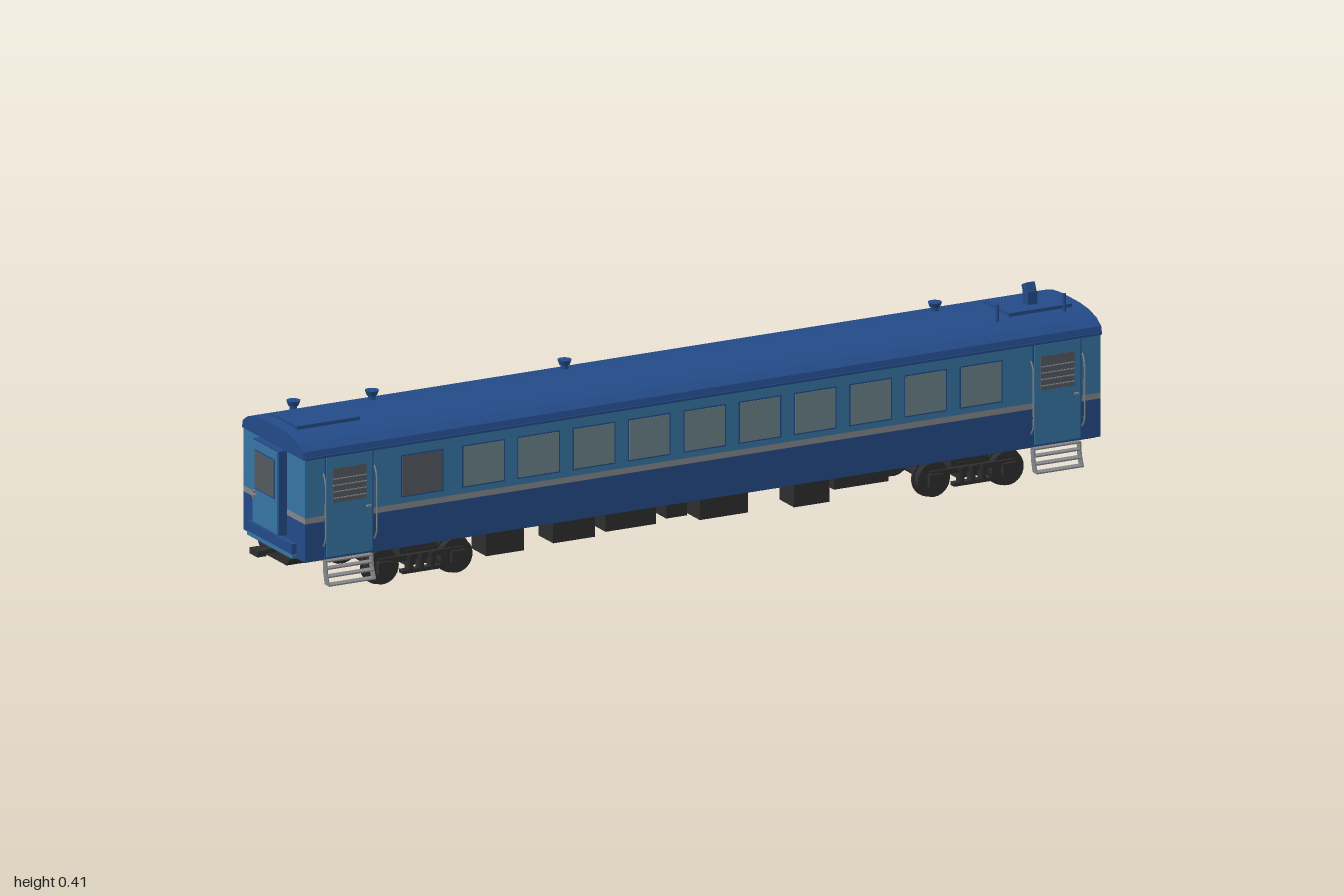
import * as THREE from 'three';

const mat = (name, color) => {
  const m = new THREE.MeshStandardMaterial({ color });
  m.name = name;
  return m;
};

export function createModel() {
  const navy = mat('navy paint', 0x234a88);
  const blue = mat('light blue paint', 0x3675a4);
  const grey = mat('grey trim', 0x84868a);
  const glass = mat('window glass', 0x6a8188);
  const darkGlass = mat('dark window', 0x53595f);
  const black = mat('underframe black', 0x2e2e2e);

  const car = new THREE.Group();
  car.name = 'railwayCarriage';
  const add = (parent, name, geo, m, x = 0, y = 0, z = 0) => {
    const mesh = new THREE.Mesh(geo, m);
    mesh.name = name;
    mesh.position.set(x, y, z);
    parent.add(mesh);
    return mesh;
  };
  // Box given by its limits on each axis
  const box = (parent, name, m, x0, x1, y0, y1, z0, z1) =>
    add(parent, name, new THREE.BoxGeometry(x1 - x0, y1 - y0, z1 - z0), m,
      (x0 + x1) / 2, (y0 + y1) / 2, (z0 + z1) / 2);
  // Cylinder standing upright, or lying along z
  const cyl = (parent, name, m, r, h, x, y, z, alongZ = false, rTop = r, seg = 20) => {
    const g = new THREE.CylinderGeometry(rTop, r, h, seg);
    if (alongZ) g.rotateX(Math.PI / 2);
    return add(parent, name, g, m, x, y, z);
  };
  // Symmetric cross-section [z, y] extruded along x
  const section = (parent, name, m, half, length) => {
    const pts = [...half, ...half.map(([z, y]) => [-z, y]).reverse()];
    const g = new THREE.ExtrudeGeometry(
      new THREE.Shape(pts.map(p => new THREE.Vector2(...p))),
      { depth: length, bevelEnabled: false });
    g.translate(0, 0, -length / 2).rotateY(Math.PI / 2);
    return add(parent, name, g, m);
  };

  // Body shell in painted bands
  const L = 0.95, W = 0.136;
  box(car, 'lowerBody', navy, -L, L, 0.09, 0.174, -W, W);
  box(car, 'waistStripe', grey, -L, L, 0.174, 0.187, -W, W);
  box(car, 'upperBody', blue, -L, L, 0.187, 0.315, -W, W);
  section(car, 'roof', navy,
    [[0.137, 0.315], [0.133, 0.332], [0.113, 0.345], [0.08, 0.354], [0.04, 0.358]], 2 * L + 0.006);

  // Underframe
  section(car, 'underframe', black, [[0.08, 0.091], [0.072, 0.082], [0.055, 0.062]], 1.9);
  box(car, 'floorPlate', black, -0.945, 0.945, 0.086, 0.092, -0.126, 0.126);

  // Underfloor equipment: x start, x end, bottom
  [[-0.5, -0.41, 0.03], [-0.34, -0.24, 0.035], [-0.215, -0.095, 0.042], [-0.07, -0.02, 0.05],
    [0.01, 0.125, 0.035], [0.235, 0.32, 0.03], [0.33, 0.46, 0.055]].forEach(([a, b, y]) => {
    for (const s of [-1, 1])
      add(car, 'equipmentBox', new THREE.BoxGeometry(b - a, 0.088 - y, 0.065), black,
        (a + b) / 2, (0.088 + y) / 2, s * 0.072);
  });

  // Roof fittings
  for (const x of [-0.85, 0.85]) box(car, 'roofHatch', navy, x - 0.075, x + 0.075, 0.35, 0.364, -0.058, 0.055);
  [[-0.86, -0.082], [-0.68, -0.068], [-0.22, -0.068], [0.66, -0.06]].forEach(([x, z]) => {
    cyl(car, 'ventStem', navy, 0.008, 0.02, x, 0.357, z);
    cyl(car, 'ventCap', navy, 0.011, 0.011, x, 0.37, z, false, 0.015);
  });
  box(car, 'chimney', navy, 0.839, 0.861, 0.355, 0.392, -0.003, 0.021);
  const cowl = add(car, 'chimneyCowl', new THREE.BoxGeometry(0.02, 0.019, 0.024), navy, 0.85, 0.397, 0.004);
  cowl.rotation.x = -0.45 + Math.PI;
  for (const x of [0.74, 0.9]) cyl(car, 'roofPipe', navy, 0.004, 0.045, x, 0.371, 0.068, false, 0.004, 10);

  // One side and one end; a half turn gives the other pair
  const buildHalf = () => {
    const h = new THREE.Group();

    // Side windows with thin frames
    const window = (x, w, y0, y1, m) => {
      box(h, 'windowFrame', navy, x - w / 2 - 0.003, x + w / 2 + 0.003, y0 - 0.003, y1 + 0.003, W, W + 0.001);
      box(h, 'sideWindow', m, x - w / 2, x + w / 2, y0, y1, W, W + 0.002);
    };
    window(-0.67, 0.096, 0.203, 0.29, darkGlass);
    for (let i = 0; i < 10; i++) window(-0.524 + i * 0.132, 0.096, 0.203, 0.29, glass);
    box(h, 'rainGutter', navy, -L, L, 0.314, 0.319, W, W + 0.003);

    // Entrance doors, handrails and steps
    for (const x of [-0.845, 0.845]) {
      box(h, 'doorFrame', navy, x - 0.058, x + 0.058, 0.092, 0.316, W, W + 0.0015);
      box(h, 'entranceDoor', blue, x - 0.055, x + 0.055, 0.095, 0.313, W, W + 0.003);
      box(h, 'doorWindow', darkGlass, x - 0.04, x + 0.04, 0.213, 0.288, W, W + 0.004);
      for (let i = 0; i < 4; i++) {
        const y = 0.222 + i * 0.014;
        box(h, 'windowBar', grey, x - 0.04, x + 0.04, y, y + 0.002, W, W + 0.006);
      }
      box(h, 'doorHandle', grey, x + 0.04, x + 0.05, 0.193, 0.197, W, W + 0.008);
      for (const s of [-1, 1]) {
        const rail = new THREE.CatmullRomCurve3([[0.12, W], [0.133, 0.145], [0.2, 0.146], [0.265, 0.145], [0.28, W]]
          .map(([y, z]) => new THREE.Vector3(x + s * 0.061, y, z)));
        add(h, 'handrail', new THREE.TubeGeometry(rail, 16, 0.002, 6), grey);
        // Curved step bracket
        const b = new THREE.Shape([[0.125, 0.088], [0.14, 0.088], [0.143, 0.06], [0.153, 0.035], [0.134, 0.035], [0.127, 0.06]]
          .map(([z, y]) => new THREE.Vector2(-z, y)));
        const g = new THREE.ExtrudeGeometry(b, { depth: 0.003, bevelEnabled: false }).rotateY(Math.PI / 2);
        add(h, 'stepBracket', g, grey, x + s * 0.055 - 0.0015);
      }
      [[0.036, 0.134, 0.153], [0.053, 0.128, 0.147], [0.07, 0.126, 0.143], [0.085, 0.125, 0.14]].forEach(([y, z0, z1]) =>
        box(h, 'stepTread', grey, x - 0.056, x + 0.056, y - 0.0015, y + 0.0015, z0, z1));
    }

    // End gangway door
    box(h, 'gangwayFrame', navy, L, 0.969, 0.13, 0.315, -0.057, 0.057);
    box(h, 'gangwayDoor', blue, 0.969, 0.972, 0.133, 0.312, -0.054, 0.054);
    box(h, 'gangwayWindowFrame', navy, 0.972, 0.973, 0.208, 0.295, -0.045, 0.045);
    box(h, 'gangwayWindow', darkGlass, 0.972, 0.974, 0.211, 0.292, -0.042, 0.042);
    box(h, 'gangwayHandle', grey, 0.972, 0.978, 0.189, 0.205, 0.041, 0.046);
    box(h, 'gangwayLever', grey, 0.976, 0.979, 0.197, 0.2, 0.028, 0.046);
    box(h, 'endStep', navy, L, 0.962, 0.1, 0.122, -0.099, 0.099);
    box(h, 'endStepEdge', blue, L, 0.961, 0.09, 0.1, -0.099, 0.099);

    // Coupler
    box(h, 'couplerBar', black, 0.93, 0.985, 0.079, 0.088, -0.01, 0.01);
    box(h, 'couplerHead', black, 0.978, 1.0, 0.077, 0.09, -0.019, 0.017);

    // Bogie
    const bogie = new THREE.Group();
    bogie.name = 'bogie';
    bogie.position.x = 0.658;
    h.add(bogie);
    box(bogie, 'bolster', black, -0.03, 0.03, 0.035, 0.07, -0.1, 0.1);
    for (const x of [-0.088, 0.088]) {
      cyl(bogie, 'axle', black, 0.012, 0.2, x, 0.042, 0, true);
      for (const s of [-1, 1]) {
        cyl(bogie, 'wheelFlange', black, 0.042, 0.006, x, 0.042, s * 0.082, true, 0.042, 28);
        cyl(bogie, 'wheel', black, 0.038, 0.019, x, 0.042, s * 0.094, true, 0.038, 28);
        box(bogie, 'axleBox', black, x - 0.016, x + 0.016, 0.03, 0.056, s * 0.108 - 0.007, s * 0.108 + 0.007);
      }
    }
    for (const s of [-1, 1]) {
      const z = s * 0.104;
      box(bogie, 'sideFrame', black, -0.1, 0.1, 0.05, 0.062, z - 0.005, z + 0.005);
      box(bogie, 'springPlank', black, -0.045, 0.045, 0.022, 0.03, z - 0.008, z + 0.008);
      for (const x of [-0.026, 0, 0.026]) cyl(bogie, 'spring', black, 0.009, 0.036, x, 0.043, z, false, 0.009, 12);
      box(bogie, 'frameStay', black, -0.045, 0.045, 0.06, 0.076, s * 0.09 - 0.008, s * 0.09 + 0.008);
    }
    return h;
  };
  const near = buildHalf();
  near.name = 'leftEndAndFrontSide';
  const far = buildHalf();
  far.name = 'rightEndAndBackSide';
  far.rotation.y = Math.PI;
  car.add(near, far);
  return car;
}
